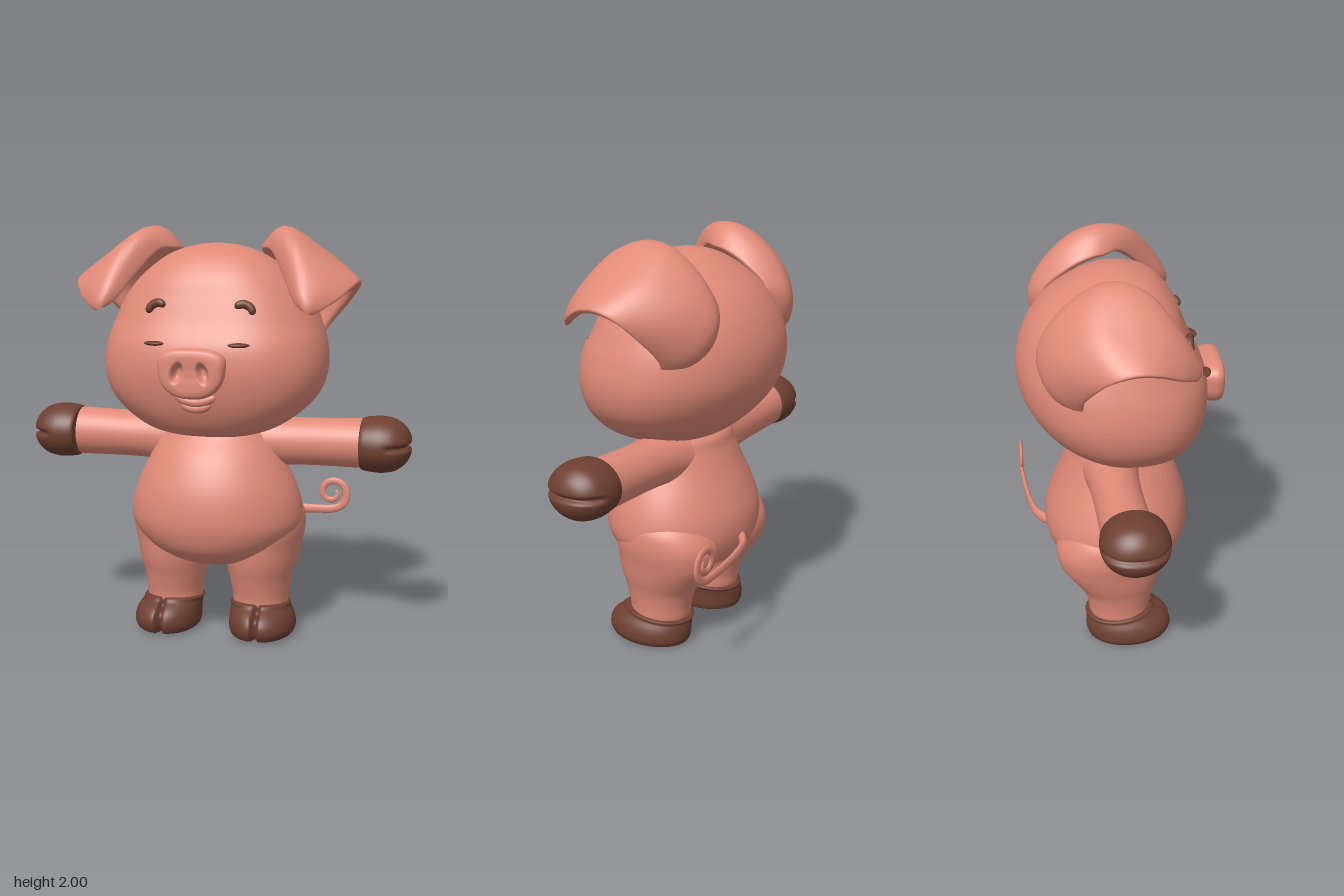
import * as THREE from 'three';

const clamp = THREE.MathUtils.clamp, smooth = THREE.MathUtils.smoothstep;
const spow = (v, p) => Math.sign(v) * Math.abs(v) ** p;

// Smooth interpolation through rows of numbers, t in 0..1
function spline(rows, t) {
  const n = rows.length - 1, f = clamp(t, 0, 1) * n, i = Math.min(Math.floor(f), n - 1), k = f - i;
  const a = rows[Math.max(i - 1, 0)], b = rows[i], c = rows[i + 1], d = rows[Math.min(i + 2, n)];
  return b.map((_, j) => 0.5 * (2 * b[j] + (c[j] - a[j]) * k + (2 * a[j] - 5 * b[j] + 4 * c[j] - d[j]) * k * k
    + (3 * b[j] - a[j] - 3 * c[j] + d[j]) * k * k * k));
}

// Surface from fn(u, v) -> [x, y, z], closed around v
function grid(nu, nv, fn) {
  const pos = [], idx = [];
  for (let i = 0; i <= nu; i++) for (let j = 0; j < nv; j++) pos.push(...fn(i / nu, j / nv));
  for (let i = 0; i < nu; i++) for (let j = 0; j < nv; j++) {
    const k = (j + 1) % nv, a = i * nv + j, b = a + nv, c = i * nv + k, d = c + nv;
    idx.push(a, b, c, b, d, c);
  }
  const g = new THREE.BufferGeometry();
  g.setAttribute('position', new THREE.Float32BufferAttribute(pos, 3));
  g.setIndex(idx);
  g.computeVertexNormals();
  return g;
}

// Upright loft; rows are [y, centreX, radiusX, zFront, zBack]
function loft(rows, nu, nv, frontPower = 1, shape = p => p) {
  return grid(nu, nv, (u, v) => {
    const [y, cx, rx, zf, zb] = spline(rows, u), c = Math.cos(v * 2 * Math.PI), s = Math.sin(v * 2 * Math.PI);
    const p = s > 0 ? frontPower : 1;
    return shape([cx + rx * spow(c, p), y, (zf + zb) / 2 + (zf - zb) / 2 * spow(s, p)]);
  });
}

// Tube with varying radius along a path; flat scales its depth in z
function sweep(points, radius, nu = 32, nv = 16, flat = 1) {
  const curve = new THREE.CatmullRomCurve3(points.map(p => new THREE.Vector3(...p)));
  const { normals, binormals } = curve.computeFrenetFrames(nu, false);
  return grid(nu, nv, (u, v) => {
    const i = Math.round(u * nu), r = radius(u), a = v * 2 * Math.PI;
    const offset = normals[i].clone().multiplyScalar(r * Math.cos(a)).addScaledVector(binormals[i], -r * Math.sin(a));
    offset.z *= flat;
    return curve.getPointAt(u).add(offset).toArray();
  });
}
const rounded = r => u => r * Math.sqrt(Math.max(0, 1 - Math.abs(2 * u - 1) ** 4));

function mirrored(geo) {
  const g = geo.clone().scale(-1, 1, 1), a = g.index.array;
  for (let i = 0; i < a.length; i += 3) [a[i], a[i + 1]] = [a[i + 1], a[i]];
  g.computeVertexNormals();
  return g;
}

const HEAD = [
  [1.0, 0, 0, 0.03, 0.03], [1.005, 0, 0.15, 0.17, -0.1], [1.04, 0, 0.29, 0.285, -0.205],
  [1.11, 0, 0.41, 0.345, -0.305], [1.21, 0, 0.505, 0.385, -0.4], [1.33, 0, 0.543, 0.405, -0.468],
  [1.45, 0, 0.533, 0.393, -0.488], [1.56, 0, 0.498, 0.34, -0.472], [1.67, 0, 0.445, 0.295, -0.425],
  [1.77, 0, 0.36, 0.25, -0.345], [1.86, 0, 0.24, 0.17, -0.22], [1.905, 0, 0.12, 0.07, -0.12],
  [1.92, 0, 0, -0.02, -0.02]];
const FACE_POWER = 0.8;

// Depth of the face surface at x, y
function faceZ(x, y) {
  let lo = 0, hi = 1;
  for (let i = 0; i < 30; i++) { const m = (lo + hi) / 2; if (spline(HEAD, m)[0] < y) lo = m; else hi = m; }
  const [, , rx, zf, zb] = spline(HEAD, lo), q = 2 / FACE_POWER;
  return (zf + zb) / 2 + (zf - zb) / 2 * Math.max(0, 1 - Math.abs(x / rx) ** q) ** (1 / q);
}
const onFace = (lift, pts) => pts.map(([x, y]) => [x, y, faceZ(x, y) + lift]);

export function createModel() {
  const model = new THREE.Group();
  model.name = 'pig';
  const skin = new THREE.MeshStandardMaterial({ color: 0xe08a78 });
  skin.name = 'pinkSkin';
  const hoof = new THREE.MeshStandardMaterial({ color: 0x6e4032 });
  hoof.name = 'brownHoof';

  const add = (name, geo, mat) => {
    const m = new THREE.Mesh(geo, mat);
    m.name = name;
    model.add(m);
  };
  const both = (name, geo, mat) => {
    add('left' + name, geo, mat);
    add('right' + name, mirrored(geo), mat);
  };

  add('head', loft(HEAD, 64, 80, FACE_POWER), skin);

  // Torso with round belly
  add('torso', loft([
    [0.33, 0, 0, -0.05, -0.05], [0.345, 0, 0.11, 0.05, -0.15], [0.38, 0, 0.22, 0.185, -0.25],
    [0.45, 0, 0.345, 0.285, -0.335], [0.55, 0, 0.42, 0.33, -0.372], [0.65, 0, 0.424, 0.335, -0.37],
    [0.76, 0, 0.392, 0.315, -0.335], [0.88, 0, 0.332, 0.265, -0.285], [0.97, 0, 0.285, 0.2, -0.25],
    [1.05, 0, 0.22, 0.12, -0.215], [1.1, 0, 0, -0.05, -0.05]], 56, 72), skin);

  // Legs widening into hips that merge with the torso
  both('Leg', loft([
    [0.08, 0.222, 0.115, 0.1, -0.155], [0.14, 0.222, 0.135, 0.122, -0.178], [0.2, 0.222, 0.14, 0.13, -0.187],
    [0.28, 0.22, 0.155, 0.15, -0.213], [0.36, 0.222, 0.177, 0.175, -0.27], [0.45, 0.223, 0.195, 0.19, -0.325],
    [0.55, 0.218, 0.216, 0.2, -0.335], [0.65, 0.2, 0.21, 0.16, -0.28], [0.74, 0.16, 0.13, 0.05, -0.18]], 48, 56), skin);

  // Feet with a cleft between two toes
  both('Foot', loft([
    [0, 0.24, 0, 0.02, 0.02], [0.003, 0.24, 0.13, 0.19, -0.16], [0.03, 0.243, 0.16, 0.228, -0.19],
    [0.07, 0.243, 0.163, 0.232, -0.197], [0.11, 0.238, 0.157, 0.208, -0.197], [0.145, 0.228, 0.147, 0.16, -0.193],
    [0.168, 0.222, 0.138, 0.126, -0.186], [0.175, 0.222, 0, -0.03, -0.03]], 40, 112, 0.95, ([x, y, z]) => {
    const w = Math.exp(-(((x - 0.24) / 0.013) ** 2)) * smooth(z, 0.1, 0.2);
    return [x, y * (1 + (z - 0.1) * 0.7) * (1 - 0.12 * w), z - 0.05 * w];
  }), hoof);

  both('Arm', sweep([[0.12, 0.95, -0.06], [0.3, 0.96, -0.06], [0.5, 0.965, -0.055], [0.78, 0.97, -0.045]],
    u => 0.107 + 0.014 * u + 0.05 * (1 - u) ** 5, 32, 40), skin);

  // Hands with a horizontal cleft at the tip
  const HAND = [[0.712, 0], [0.714, 0.1], [0.72, 0.124], [0.765, 0.133], [0.82, 0.135], [0.88, 0.121], [0.925, 0.086], [0.947, 0.045], [0.953, 0]];
  both('Hand', grid(48, 112, (u, v) => {
    const [x, r] = spline(HAND, u), a = v * 2 * Math.PI;
    const dy = r * Math.cos(a), dz = -1.17 * r * Math.sin(a);
    const k = 1 - 0.14 * Math.exp(-((dy / 0.012) ** 2)) * smooth(x, 0.82, 0.89);
    return [0.78 + (x - 0.78) * k, 0.972 + dy, -0.025 + dz * k];
  }), hoof);

  // Folded ears: four points across, from inner edge to outer edge, arching from the back to the tip
  const EAR = [
    [0.2, 1.62, -0.25, 0.28, 1.48, -0.3, 0.36, 1.43, -0.25, 0.45, 1.4, -0.15],
    [0.22, 1.72, -0.33, 0.32, 1.65, -0.385, 0.42, 1.54, -0.335, 0.5, 1.5, -0.22],
    [0.2, 1.83, -0.22, 0.32, 1.81, -0.32, 0.48, 1.7, -0.3, 0.625, 1.645, -0.16],
    [0.2, 1.88, -0.12, 0.32, 1.94, -0.18, 0.52, 1.83, -0.175, 0.68, 1.715, -0.09],
    [0.22, 1.89, -0.04, 0.33, 1.98, -0.05, 0.54, 1.845, -0.03, 0.69, 1.74, 0],
    [0.28, 1.88, 0.04, 0.37, 1.94, 0.08, 0.54, 1.82, 0.1, 0.675, 1.725, 0.09],
    [0.36, 1.77, 0.15, 0.42, 1.83, 0.18, 0.53, 1.755, 0.2, 0.62, 1.67, 0.19],
    [0.42, 1.67, 0.24, 0.46, 1.69, 0.27, 0.51, 1.66, 0.275, 0.555, 1.625, 0.25],
    [0.465, 1.625, 0.28, 0.48, 1.62, 0.295, 0.5, 1.61, 0.295, 0.515, 1.605, 0.28]];
  const earPoint = (u, s) => {
    const r = spline(EAR, u);
    return new THREE.Vector3(...spline([0, 3, 6, 9].map(k => r.slice(k, k + 3)), s));
  };
  both('Ear', grid(56, 48, (u, v) => {
    const s = 0.5 - 0.5 * Math.cos(v * 2 * Math.PI), side = Math.sin(v * 2 * Math.PI), e = 0.01;
    const du = earPoint(Math.min(u + e, 1), s).sub(earPoint(Math.max(u - e, 0), s));
    const ds = earPoint(u, Math.min(s + e, 1)).sub(earPoint(u, Math.max(s - e, 0)));
    const n = du.cross(ds).normalize();
    const t = (side > 0 ? 0.02 : 0.05) * spow(side, 0.7) * (1 - u ** 8);
    return earPoint(u, s).addScaledVector(n, t).toArray();
  }), skin);

  // Snout: wider at the top, with two sunken nostrils
  const SNOUT = [[0.33, 0.9], [0.385, 0.93], [0.42, 1], [0.455, 1.03], [0.48, 0.95], [0.489, 0.77], [0.49, 0.56], [0.489, 0.37], [0.487, 0.18], [0.487, 0]];
  add('snout', grid(72, 112, (u, v) => {
    const [z, k] = spline(SNOUT, u), c = Math.cos(-v * 2 * Math.PI), s = Math.sin(-v * 2 * Math.PI);
    const x = 0.15 * k * spow(c, 0.72) * (1 + 0.22 * k * s), y = 1.344 + 0.112 * k * spow(s, 0.72);
    const d = ((Math.abs(x) - 0.06 + (y - 1.35) * 0.2) / 0.023) ** 2 + ((y - 1.35) / 0.039) ** 2;
    return [x, y, z - (z > 0.46 ? 0.04 * Math.exp(-d * d) : 0)];
  }), skin);

  // Smiling mouth and chin
  add('lowerLip', sweep(onFace(-0.004, [[-0.07, 1.2], [-0.04, 1.18], [0, 1.173], [0.04, 1.18], [0.07, 1.2]]), rounded(0.023)), skin);
  add('upperLip', sweep(onFace(-0.004, [[-0.1, 1.235], [-0.05, 1.212], [0, 1.203], [0.05, 1.212], [0.1, 1.235]]), rounded(0.023)), skin);

  // Closed eyes and brows
  const eye = new THREE.SphereGeometry(1, 24, 16).scale(0.05, 0.011, 0.03)
    .rotateY(0.25).translate(0.2, 1.469, faceZ(0.2, 1.469) + 0.002);
  both('Eye', eye, hoof);
  both('Brow', sweep(onFace(0.012, [[0.165, 1.637], [0.2, 1.65], [0.235, 1.635], [0.252, 1.602]]), rounded(0.02)), hoof);

  // Tail running sideways into a spiral curl
  const tail = [[0, 0.545, -0.35], [0.08, 0.535, -0.41], [0.2, 0.528, -0.44], [0.34, 0.525, -0.458], [0.44, 0.525, -0.466]];
  for (let i = 0; i <= 14; i++) {
    const t = i / 14, a = -Math.PI / 2 + t * 8.7, r = 0.087 - 0.067 * t;
    tail.push([0.505 + r * Math.cos(a), 0.615 + r * Math.sin(a), -0.47]);
  }
  add('tail', sweep(tail, u => (0.029 - 0.014 * u) * Math.sqrt(Math.max(0, 1 - u ** 30)), 120, 14, 0.5), skin);

  return model;
}
